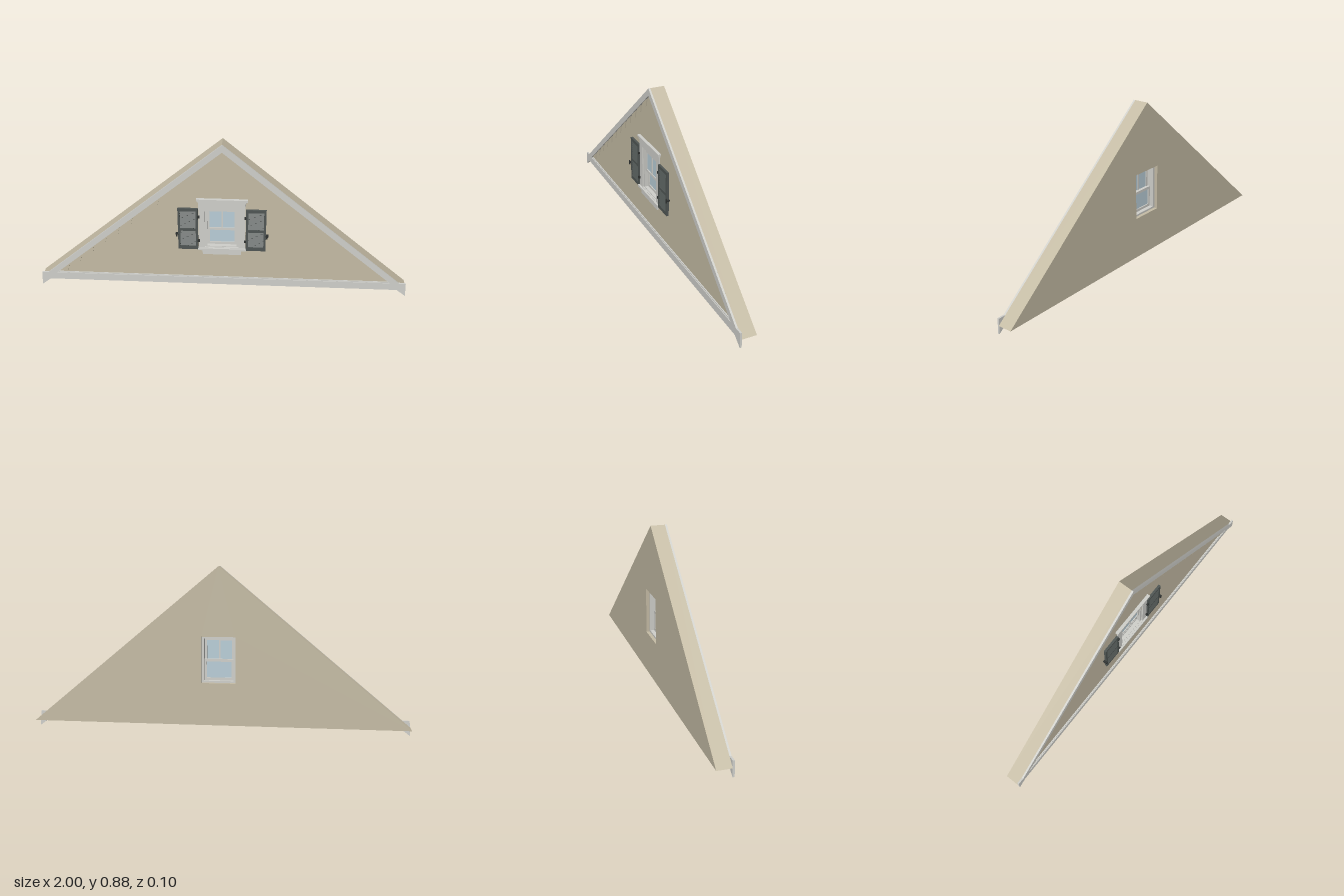
import * as THREE from 'three';
import { mergeGeometries } from 'three/addons/utils/BufferGeometryUtils.js';

const mat = (name, color) => {
  const m = new THREE.MeshStandardMaterial({ color });
  m.name = name;
  return m;
};

// Box given by its limits on each axis
const box = (x0, x1, y0, y1, z0, z1) =>
  new THREE.BoxGeometry(x1 - x0, y1 - y0, z1 - z0)
    .translate((x0 + x1) / 2, (y0 + y1) / 2, (z0 + z1) / 2);

// Rectangular frame of four bars
const frame = (hx, y0, y1, side, top, bottom, z0, z1) => mergeGeometries([
  box(-hx, -hx + side, y0, y1, z0, z1),
  box(hx - side, hx, y0, y1, z0, z1),
  box(-hx + side, hx - side, y1 - top, y1, z0, z1),
  box(-hx + side, hx - side, y0, y0 + bottom, z0, z1),
]);

// Flat outline pushed from z0 to z1
const points = (pts) => pts.map(([x, y]) => new THREE.Vector2(x, y));
const slab = (pts, z0, z1, hole) => {
  const shape = new THREE.Shape(points(pts));
  if (hole) shape.holes.push(new THREE.Path(points(hole)));
  return new THREE.ExtrudeGeometry(shape, { depth: z1 - z0, bevelEnabled: false, steps: 1 })
    .translate(0, 0, z0);
};

export function createModel() {
  const root = new THREE.Group();
  root.name = 'gableWall';
  const siding = mat('warm beige siding', 0xc5bca5);
  const trim = mat('pale grey trim', 0xd0d0cb);
  const dark = mat('dark shutter grey', 0x505654);
  const glass = mat('pale blue glass', 0xb9ced8);
  const iron = mat('black iron', 0x2e3130);

  const group = (name, parent) => {
    const g = new THREE.Group();
    g.name = name;
    parent.add(g);
    return g;
  };
  const add = (name, parent, material, ...geometries) => {
    const geometry = geometries.length > 1 ? mergeGeometries(geometries) : geometries[0];
    const mesh = new THREE.Mesh(geometry, material);
    mesh.name = name;
    parent.add(mesh);
  };

  // Triangular wall with a window opening
  add('wall', root, siding, slab([[-1, 0.045], [1, 0.045], [0, 0.88]], -0.048, 0.028,
    [[-0.09, 0.27], [-0.09, 0.515], [0.09, 0.515], [0.09, 0.27]]));

  // Rake boards along both slopes
  add('rakeTrim', root, trim, slab([[-0.958, 0.08], [-0.91, 0.08], [0, 0.84],
    [0.91, 0.08], [0.958, 0.08], [0, 0.88]], 0.028, 0.038));

  // Bottom board with returned ends and a narrow ledge
  add('bottomTrim', root, trim, slab([[-1, 0], [-0.95, 0.038], [0.95, 0.038],
    [1, 0], [0.995, 0.08], [-0.995, 0.08]], 0.028, 0.038));
  add('bottomLedge', root, trim, box(-0.905, 0.905, 0.079, 0.085, 0.027, 0.034));

  // Stepped siding ends tucked under the rake boards
  const ends = [];
  for (let i = 0; i < 12; i++) {
    const y = 0.095 + i * 0.061;
    const x = (0.84 - y) / 0.835;
    for (const s of [-1, 1]) {
      ends.push(slab([[s * x, y], [s * (x - 0.045), y], [s * (x - 0.055), y + 0.045]], 0.027, 0.034));
    }
  }
  add('sidingEnds', root, siding, ...ends);

  // Window casing, head moulding and sill
  const win = group('window', root);
  add('casing', win, trim, frame(0.123, 0.262, 0.552, 0.033, 0.037, 0.014, 0.027, 0.036));
  add('headMoulding', win, trim, box(-0.128, 0.128, 0.552, 0.562, 0.027, 0.041));
  add('headCap', win, trim, box(-0.134, 0.134, 0.562, 0.572, 0.027, 0.045));
  add('sill', win, trim, box(-0.128, 0.128, 0.262, 0.274, 0.027, 0.046));
  add('apron', win, trim, box(-0.103, 0.103, 0.232, 0.262, 0.027, 0.036));

  // Jamb and two sashes inside the opening
  add('jamb', win, trim, frame(0.09, 0.27, 0.515, 0.012, 0.01, 0.01, -0.03, 0.027));
  for (const [name, y0, y1, z] of [['upperSash', 0.378, 0.505, 0.014], ['lowerSash', 0.28, 0.393, -0.001]]) {
    const sash = group(name, win);
    add('sashFrame', sash, trim, frame(0.078, y0, y1, 0.012, 0.014, 0.014, z - 0.007, z + 0.007));
    add('pane', sash, glass, box(-0.067, 0.067, y0 + 0.013, y1 - 0.013, z - 0.002, z + 0.002));
  }
  add('muntin', win, trim, box(-0.004, 0.004, 0.392, 0.491, 0.008, 0.02));

  // Louvred shutters with hinges and holdbacks
  for (const s of [-1, 1]) {
    const shutter = group(s > 0 ? 'leftShutter' : 'rightShutter', root);
    shutter.position.x = s * 0.179;
    add('backing', shutter, dark, box(-0.05, 0.05, 0.27, 0.508, 0.027, 0.033));
    add('shutterFrame', shutter, dark, frame(0.053, 0.265, 0.514, 0.012, 0.016, 0.02, 0.03, 0.042));
    add('middleRail', shutter, dark, box(-0.041, 0.041, 0.379, 0.393, 0.03, 0.042));
    const louvres = [];
    for (const [y0, y1, count] of [[0.285, 0.379, 7], [0.393, 0.498, 8]]) {
      for (let i = 0; i < count; i++) {
        louvres.push(new THREE.BoxGeometry(0.082, 0.011, 0.003)
          .rotateX(-0.6)
          .translate(0, y0 + (i + 0.5) * (y1 - y0) / count, 0.0365));
      }
    }
    add('louvres', shutter, dark, ...louvres);
    const hx = -s * 0.056;
    add('hinges', shutter, iron, ...[0.32, 0.465].map((y) =>
      box(hx - 0.006, hx + 0.006, y - 0.006, y + 0.006, 0.036, 0.044)));
    const px = s * 0.059;
    add('holdback', shutter, iron,
      box(px - 0.007, px + 0.007, 0.356, 0.362, 0.027, 0.046),
      box(px - 0.004, px + 0.004, 0.347, 0.371, 0.045, 0.05));
  }
  return root;
}
